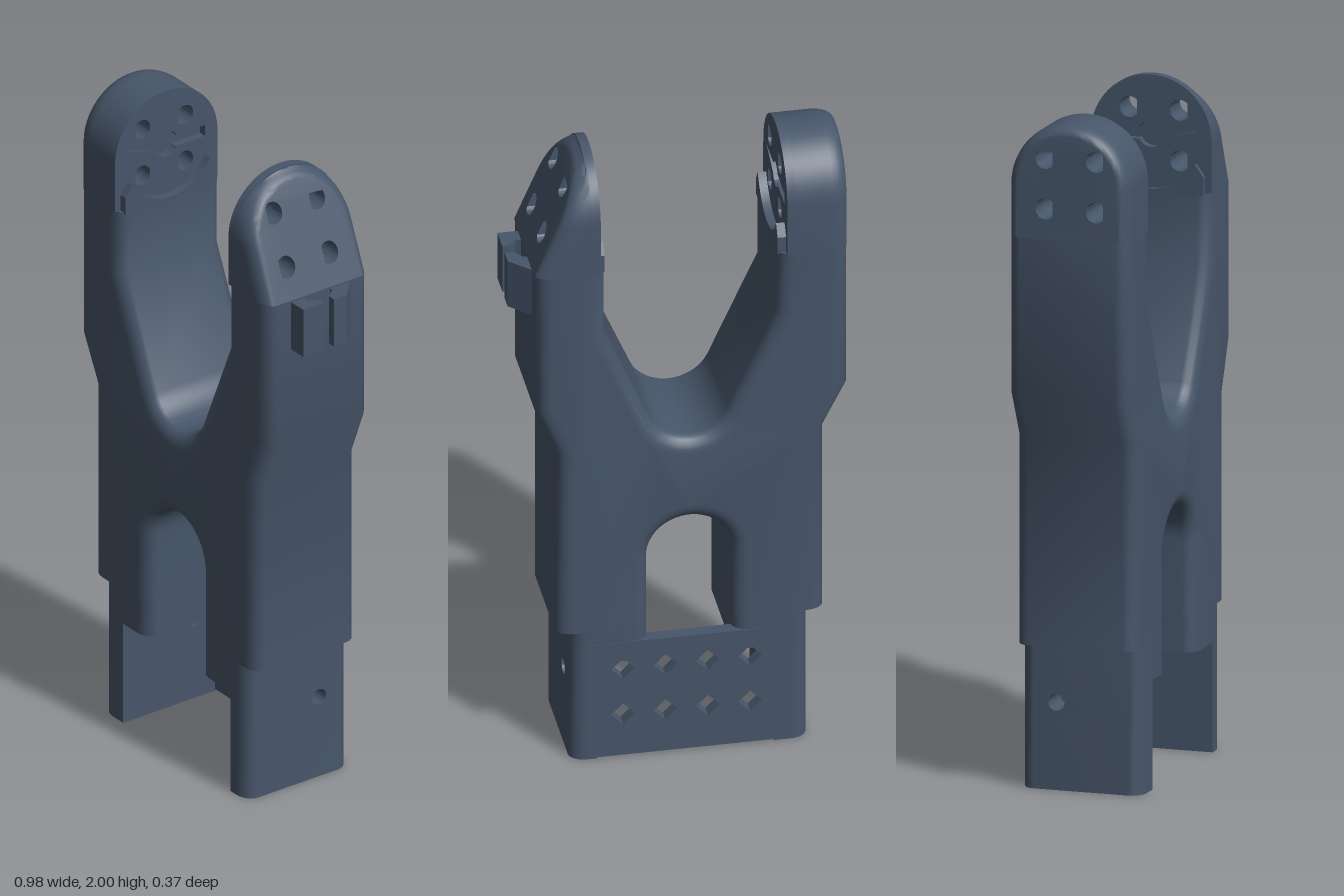
import * as THREE from 'three';
import { toCreasedNormals } from 'three/addons/utils/BufferGeometryUtils.js';

const HALF = 0.185; // half depth of the bracket
const TIP_Y = 1.815; // centre of the rounded arm ends
const HORN_Y = 1.825;

export function createModel() {
  const group = new THREE.Group();
  const slate = new THREE.MeshStandardMaterial({ color: 0x47566a });

  const add = (name, geo) => {
    const mesh = new THREE.Mesh(toCreasedNormals(geo, 0.6), slate);
    mesh.name = name;
    group.add(mesh);
  };
  const poly = (pts) => new THREE.Shape(pts.map((p) => new THREE.Vector2(...p)));
  const path = (pts) => new THREE.Path(pts.map((p) => new THREE.Vector2(...p)));

  // Front profile with softened front and back edges, cut flat at yMin and yMax
  const softSlab = (shape, yMin, yMax) => {
    const geo = new THREE.ExtrudeGeometry(shape, {
      depth: 2 * HALF - 0.08, curveSegments: 16, bevelEnabled: true,
      bevelThickness: 0.04, bevelSize: 0.05, bevelOffset: -0.05, bevelSegments: 5,
    });
    geo.translate(0, 0, -HALF + 0.04);
    const p = geo.attributes.position;
    for (let i = 0; i < p.count; i++) p.setY(i, THREE.MathUtils.clamp(p.getY(i), yMin, yMax));
    return geo;
  };

  // Side profile (drawn as -z, y) run along x from inner to outer(y), outer rim rounded
  const sidePart = (shape, inner, outer, round = 0.06, inset = 0.03) => {
    const n = 7;
    const geo = new THREE.ExtrudeGeometry(shape, { depth: 1, steps: n, curveSegments: 16, bevelEnabled: false });
    const p = geo.attributes.position;
    const s = Math.sign(outer(1.7) - inner);
    for (let i = 0; i < p.count; i++) {
      let z = -p.getX(i), y = p.getY(i);
      const w = p.getZ(i);
      const k = Math.round((s > 0 ? w : 1 - w) * n);
      const a = k < 1 ? 0 : ((k - 1) / (n - 1)) * Math.PI / 2;
      const r = Math.hypot(z, Math.max(0, y - TIP_Y));
      if (r > 0.175) { // rim only, holes stay straight
        const f = k < 1 ? 1 : 1 - inset * (1 - Math.cos(a)) / HALF;
        z *= f;
        if (y > TIP_Y) y = TIP_Y + (y - TIP_Y) * f;
      }
      const reach = Math.abs(outer(y) - inner) - round * (1 - Math.sin(a));
      p.setXYZ(i, k < 1 ? inner : inner + s * Math.max(0.003, reach), y, z);
    }
    return geo;
  };

  // Forked body
  const body = new THREE.Shape();
  body.moveTo(-0.42, 0.3);
  body.lineTo(-0.15, 0.3);
  body.lineTo(-0.15, 0.66);
  body.absarc(-0.025, 0.66, 0.125, Math.PI, 0, true);
  body.lineTo(0.1, 0.3);
  body.lineTo(0.37, 0.3);
  body.lineTo(0.37, 1.05);
  body.lineTo(0.43, 1.2);
  body.lineTo(0.43, 1.85);
  body.lineTo(0.225, 1.85);
  body.lineTo(0.225, 1.45);
  body.lineTo(0.09, 1.135);
  body.absarc(-0.025, 1.185, 0.125, -0.41, -Math.PI + 0.41, true);
  body.lineTo(-0.285, 1.46);
  body.lineTo(-0.285, 1.85);
  body.lineTo(-0.49, 1.85);
  body.lineTo(-0.49, 1.19);
  body.lineTo(-0.42, 1.05);
  add('forkBody', softSlab(body, 0.435, 1.66));

  // Rounded arm ends with teardrop screw holes
  const dShape = () => {
    const s = new THREE.Shape();
    s.moveTo(-HALF, 1.66);
    s.lineTo(HALF, 1.66);
    s.lineTo(HALF, TIP_Y);
    s.absarc(0, TIP_Y, HALF, 0, Math.PI, false);
    for (const u of [-0.089, 0.066]) {
      for (const v of [1.75, 1.9]) {
        const h = new THREE.Path();
        h.moveTo(u - 0.042, v);
        h.absarc(u, v, 0.031, -Math.PI * 0.75, Math.PI * 0.75, false);
        s.holes.push(h);
      }
    }
    return s;
  };
  // Horn socket: a hub with a slim bar either side
  const socket = () => {
    const h = new THREE.Path();
    const a = Math.asin(0.018 / 0.04);
    h.moveTo(-0.14, HORN_Y - 0.018);
    h.absarc(0, HORN_Y, 0.04, Math.PI + a, -a, false);
    h.lineTo(0.14, HORN_Y - 0.018);
    h.lineTo(0.14, HORN_Y + 0.018);
    h.absarc(0, HORN_Y, 0.04, a, Math.PI - a, false);
    h.lineTo(-0.14, HORN_Y + 0.018);
    return h;
  };
  const tips = [
    { side: 'right', s: -1, face: -0.31, lip: -0.285, outer: () => -0.49 },
    { side: 'left', s: 1, face: 0.24, lip: 0.225, outer: (y) => 0.43 - (y - 1.66) * 0.427 },
  ];
  for (const { side, s, face, lip, outer } of tips) {
    const layer = dShape();
    layer.holes.push(socket());
    const mid = face + s * 0.025;
    add(side + 'HornSocket', sidePart(layer, face, () => mid, 0, 0));
    add(side + 'ArmEnd', sidePart(dShape(), mid, outer));

    // Raised lip below the round recess
    const rim = new THREE.Shape();
    rim.moveTo(-0.165, 1.655);
    rim.lineTo(0.165, 1.655);
    rim.lineTo(0.165, 1.71);
    rim.lineTo(0.14, 1.745);
    rim.absarc(0, HORN_Y, 0.161, -0.52, -Math.PI + 0.52, true);
    rim.lineTo(-0.165, 1.71);
    const geo = new THREE.ExtrudeGeometry(rim, { depth: Math.abs(face - lip), bevelEnabled: false });
    geo.rotateY(Math.PI / 2);
    geo.translate(Math.min(face, lip), 0, 0);
    add(side + 'RecessLip', geo);
  }

  // Lower side walls, each with a screw hole
  for (const [side, inner, outer] of [['right', -0.27, -0.37], ['left', 0.25, 0.33]]) {
    const wall = poly([[-HALF, 0], [HALF, 0], [HALF, 0.44], [-HALF, 0.44]]);
    const hole = new THREE.Path();
    hole.absarc(0.075, 0.26, 0.025, 0, Math.PI * 2, false);
    wall.holes.push(hole);
    add(side + 'Wall', sidePart(wall, inner, () => outer, 0.05, 0.04));
  }

  // Leg stubs either side of the slot
  add('rightLeg', softSlab(poly([[-0.34, 0.2], [-0.15, 0.2], [-0.15, 0.6], [-0.34, 0.6]]), 0.325, 0.44));
  add('leftLeg', softSlab(poly([[0.1, 0.2], [0.3, 0.2], [0.3, 0.6], [0.1, 0.6]]), 0.325, 0.44));

  // Back plate with two rows of diamond holes
  const plate = poly([[-0.32, 0.005], [0.28, 0.005], [0.28, 0.39], [-0.32, 0.39]]);
  for (const x of [-0.2, -0.075, 0.05, 0.175]) {
    for (const y of [0.145, 0.3]) {
      plate.holes.push(path([[x - 0.035, y], [x, y - 0.035], [x + 0.035, y], [x, y + 0.035]]));
    }
  }
  const plateGeo = new THREE.ExtrudeGeometry(plate, { depth: 0.04, bevelEnabled: false });
  plateGeo.translate(0, 0, -HALF - 0.002);
  add('backPlate', plateGeo);

  // Cable clip hooks, drawn as x, -z and run upward
  const hooks = {
    backHook: [[0.42, 0.115], [0.43, 0.115], [0.49, 0.055], [0.49, 0.01], [0.465, 0.01], [0.44, 0.04], [0.42, 0.04]],
    frontHook: [[0.42, -0.1], [0.49, -0.1], [0.49, -0.025], [0.47, -0.025], [0.445, -0.055], [0.42, -0.045]],
  };
  for (const [name, pts] of Object.entries(hooks)) {
    const geo = new THREE.ExtrudeGeometry(poly(pts), { depth: 0.155, bevelEnabled: false });
    geo.rotateX(-Math.PI / 2);
    geo.translate(0, 1.5, 0);
    add(name, geo);
  }
  return group;
}
